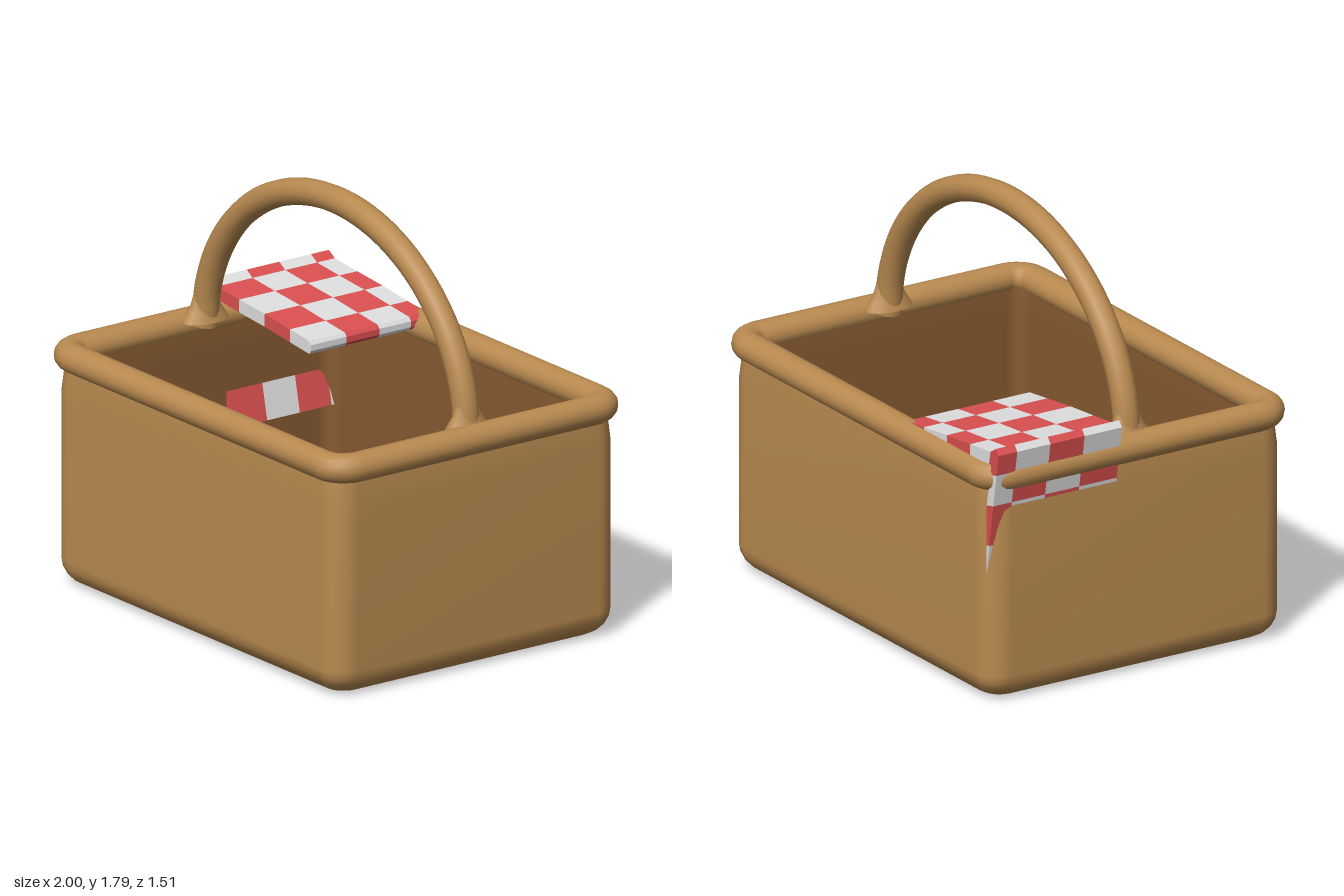
import * as THREE from 'three';
import { mergeGeometries } from 'three/addons/utils/BufferGeometryUtils.js';

// Loft through rounded-rectangle rings, each given as [halfX, halfZ, cornerRadius, y]
function loft(rings, steps = 6) {
  const pos = [], idx = [], n = 4 * (steps + 1);
  for (const [hx, hz, r, y] of rings) {
    for (let c = 0; c < 4; c++) {
      const sx = c === 0 || c === 3 ? 1 : -1, sz = c < 2 ? 1 : -1;
      for (let i = 0; i <= steps; i++) {
        const a = (c + i / steps) * Math.PI / 2;
        pos.push(sx * (hx - r) + r * Math.cos(a), y, sz * (hz - r) + r * Math.sin(a));
      }
    }
  }
  for (let j = 0; j < rings.length - 1; j++) {
    for (let k = 0; k < n; k++) {
      const a = j * n + k, b = j * n + (k + 1) % n;
      idx.push(a, a + n, b, b, a + n, b + n);
    }
  }
  const g = new THREE.BufferGeometry();
  g.setAttribute('position', new THREE.Float32BufferAttribute(pos, 3));
  g.setIndex(idx);
  g.computeVertexNormals();
  return g;
}

export function createModel() {
  const mat = (name, color) => new THREE.MeshStandardMaterial({ name, color });
  const tan = mat('tan wicker', 0xb98a50);
  const dark = mat('dark lining', 0x875a31);
  const red = mat('red check', 0xdc5050);
  const white = mat('white check', 0xe0e0e0);

  const basket = new THREE.Group();
  basket.name = 'picnicBasket';
  const add = (name, geo, material, parent = basket) => {
    const m = new THREE.Mesh(geo, material);
    m.name = name;
    parent.add(m);
    return m;
  };

  // Outer shell: flat bottom, rounded lower edge, upright walls
  const outer = [[0, 0, 0, 0]];
  for (let i = 0; i <= 5; i++) {
    const a = i / 5 * Math.PI / 2, s = 0.1 * (1 - Math.sin(a));
    outer.push([0.96 - s, 0.72 - s, 0.11 - s * 0.5, 0.11 * (1 - Math.cos(a))]);
  }
  outer.push([0.96, 0.72, 0.11, 0.82], [0.945, 0.705, 0.1, 0.96]);
  add('basketShell', loft(outer), tan);

  // Inner lining, from the rim down to the floor
  const inner = [[0.885, 0.645, 0.07, 0.97], [0.875, 0.635, 0.07, 0.85]];
  for (let i = 0; i <= 4; i++) {
    const a = i / 4 * Math.PI / 2, s = 0.06 * (1 - Math.cos(a));
    inner.push([0.875 - s, 0.635 - s, 0.07 - s * 0.5, 0.14 - 0.06 * Math.sin(a)]);
  }
  inner.push([0, 0, 0, 0.08]);
  add('basketLining', loft(inner), dark);

  // Rolled rim
  const rim = [];
  for (let i = 0; i <= 16; i++) {
    const a = -Math.PI / 2 + i / 16 * Math.PI * 2, o = 0.064 * Math.cos(a);
    rim.push([0.936 + o, 0.69 + o, 0.095 + o, 0.97 + 0.061 * Math.sin(a)]);
  }
  add('rim', loft(rim), tan);

  // Arched handle with flared feet
  const arch = [];
  for (let i = 0; i <= 16; i++) {
    const a = i / 16 * Math.PI;
    arch.push(new THREE.Vector3(0.88 * Math.cos(a), 0.97 + 0.765 * Math.sin(a), 0));
  }
  add('handle', new THREE.TubeGeometry(new THREE.CatmullRomCurve3(arch), 64, 0.056, 14), tan);
  const flare = [[0.11, 0.99], [0.085, 1.03], [0.066, 1.06], [0.05, 1.11]]
    .map(([r, y]) => new THREE.Vector2(r, y));
  for (const side of [-1, 1]) {
    const foot = add('handleFoot', new THREE.LatheGeometry(flare, 16), tan);
    foot.position.x = side * 0.88;
    foot.scale.x = 0.62;
  }

  // Checked cloth: profile pairs [outer x, outer y, inner x, inner y, column]
  const profile = [
    [-0.905, 0.51, -0.842, 0.51, 0], [-0.932, 0.68, -0.877, 0.67, 1],
    [-0.96, 0.86, -0.912, 0.85, 2], [-0.985, 1.0, -0.94, 0.99, 3],
    [-1.0, 1.09, -0.945, 1.03, 3], [-0.98, 1.115, -0.94, 1.035, 3],
    [-0.94, 1.09, -0.93, 1.035, 4], [-0.79, 1.075, -0.79, 1.02, 5],
    [-0.62, 1.06, -0.62, 1.005, 6], [-0.45, 1.04, -0.45, 0.985, 7],
    [-0.32, 1.025, -0.32, 0.97, 8], [-0.308, 1.01, -0.308, 0.985, 8],
  ];
  const rows = [-0.7, -0.61, -0.45, -0.285, -0.105];
  const parts = [[], []];
  for (let i = 0; i < profile.length - 1; i++) {
    const [ax, ay, bx, by, col] = profile[i], [cx, cy, dx, dy] = profile[i + 1];
    const cell = new THREE.Shape([[ax, ay], [bx, by], [dx, dy], [cx, cy]]
      .map(([x, y]) => new THREE.Vector2(x, y)));
    for (let j = 0; j < 4; j++) {
      const g = new THREE.ExtrudeGeometry(cell, { depth: rows[j + 1] - rows[j], bevelEnabled: false });
      g.translate(0, 0, rows[j]);
      parts[(Math.min(col, 7) + j) % 2].push(g);
    }
  }
  const cloth = new THREE.Group();
  cloth.name = 'cloth';
  basket.add(cloth);
  add('clothWhiteChecks', mergeGeometries(parts[0]), white, cloth);
  add('clothRedChecks', mergeGeometries(parts[1]), red, cloth);
  return basket;
}
